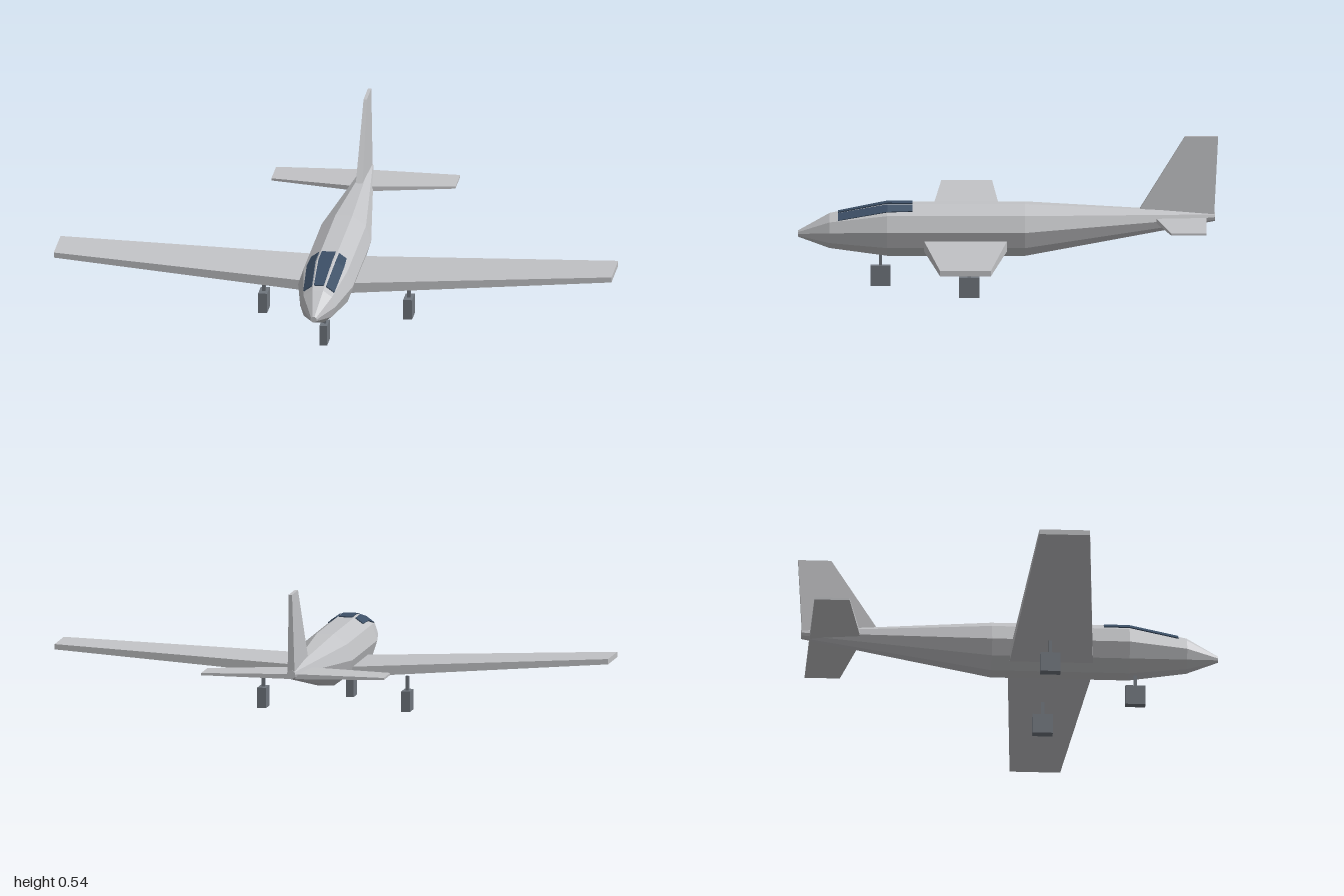
import * as THREE from 'three';

const SIDES = 10;
// Fuselage stations: z, centre height, radius
const STATIONS = [
  [0.748, 0.187, 0.011],
  [0.636, 0.198, 0.063],
  [0.43, 0.205, 0.098],
  [-0.06, 0.205, 0.098],
  [-0.735, 0.249, 0.016],
];

const paint = (name, color) => {
  const m = new THREE.MeshStandardMaterial({ color, flatShading: true });
  m.name = name;
  return m;
};

// Closed loft through rings whose corners run counter-clockwise seen from the first ring's end
function loft(rings) {
  const n = rings[0].length, out = [];
  const tri = (...pts) => pts.forEach((p) => out.push(...p));
  for (let s = 0; s < rings.length - 1; s++) {
    const f = rings[s], b = rings[s + 1];
    for (let i = 0; i < n; i++) {
      const j = (i + 1) % n;
      tri(f[i], b[i], b[j]);
      tri(f[i], b[j], f[j]);
    }
  }
  const first = rings[0], last = rings[rings.length - 1];
  for (let i = 1; i < n - 1; i++) {
    tri(first[0], first[i], first[i + 1]);
    tri(last[0], last[i + 1], last[i]);
  }
  const g = new THREE.BufferGeometry();
  g.setAttribute('position', new THREE.Float32BufferAttribute(out, 3));
  g.computeVertexNormals();
  return g;
}

// Corner k of the fuselage polygon at one station, pushed outward by a margin
function corner(z, k, margin = 0) {
  let s = 0;
  while (s < STATIONS.length - 2 && z < STATIONS[s + 1][0]) s++;
  const [z0, y0, r0] = STATIONS[s], [z1, y1, r1] = STATIONS[s + 1];
  const t = (z - z0) / (z1 - z0);
  const a = (k / SIDES) * Math.PI * 2, r = r0 + (r1 - r0) * t + margin;
  return [Math.cos(a) * r, y0 + (y1 - y0) * t + Math.sin(a) * r, z];
}

// Wing-like section at a given x
const wingRing = (x, front, back, low, high) => [
  [x, low, front], [x, low, back], [x, high, back], [x, high, front],
];

// Fin section at a given height
const finRing = (y, front, back, t) => [
  [-t, y, front], [t, y, front], [t, y, back], [-t, y, back],
];

export function createModel() {
  const plane = new THREE.Group();
  plane.name = 'airplane';
  const body = paint('light grey', 0xc2c3c6);
  const glass = paint('dark blue glass', 0x3c4f66);
  const gearGrey = paint('gear grey', 0x70767e);

  const add = (name, geometry, material, parent = plane) => {
    const mesh = new THREE.Mesh(geometry, material);
    mesh.name = name;
    parent.add(mesh);
    return mesh;
  };

  // Fuselage
  const rings = STATIONS.map(([z]) => Array.from({ length: SIDES }, (_, k) => corner(z, k)));
  add('fuselage', loft(rings), body);

  // Wings and tail surfaces, each running from left tip to right tip
  const span = (half, tip, root) =>
    loft([wingRing(half, ...tip), wingRing(0, ...root), wingRing(-half, ...tip)]);
  add('wings', span(1, [0.24, 0.06, 0.197, 0.216], [0.304, 0, 0.13, 0.168]), body);
  add('tailplane', span(0.33, [-0.58, -0.705, 0.234, 0.242], [-0.52, -0.705, 0.229, 0.247]), body);
  add('fin', loft([finRing(0.538, -0.628, -0.746, 0.006), finRing(0.24, -0.444, -0.731, 0.013)]), body);

  // Cockpit panes: thin plates over the three upper facets, bent with the nose
  const pane = (name, k, lowRight, lowLeft) => {
    const paneRings = [0.605, 0.43, 0.34].map((z, i) => {
      const at = (t, m) => {
        const a = corner(z, k, m), b = corner(z, k + 1, m);
        return a.map((v, c) => v + (b[c] - v) * t);
      };
      const t0 = lowRight[i], t1 = 1 - lowLeft[i];
      return [at(t0, 0.004), at(t1, 0.004), at(t1, -0.003), at(t0, -0.003)];
    });
    add(name, loft(paneRings), glass);
  };
  const narrow = [0.1, 0.1, 0.1], lower = [0.06, 0.3, 0.36];
  pane('leftPane', 1, lower, narrow);
  pane('centrePane', 2, narrow, narrow);
  pane('rightPane', 3, narrow, lower);

  // Landing gear: one nose leg and two main legs
  const gear = (name, x, z, width, top) => {
    const leg = new THREE.Group();
    leg.name = name;
    leg.position.set(x, 0, z);
    plane.add(leg);
    add('wheel', new THREE.BoxGeometry(width, 0.073, 0.072), gearGrey, leg).position.y = 0.0365;
    add('strut', new THREE.BoxGeometry(0.012, top - 0.06, 0.012), gearGrey, leg).position.y = (top + 0.06) / 2;
  };
  gear('noseGear', 0, 0.454, 0.028, 0.125);
  gear('leftGear', 0.26, 0.138, 0.032, 0.124);
  gear('rightGear', -0.26, 0.138, 0.032, 0.124);

  return plane;
}
